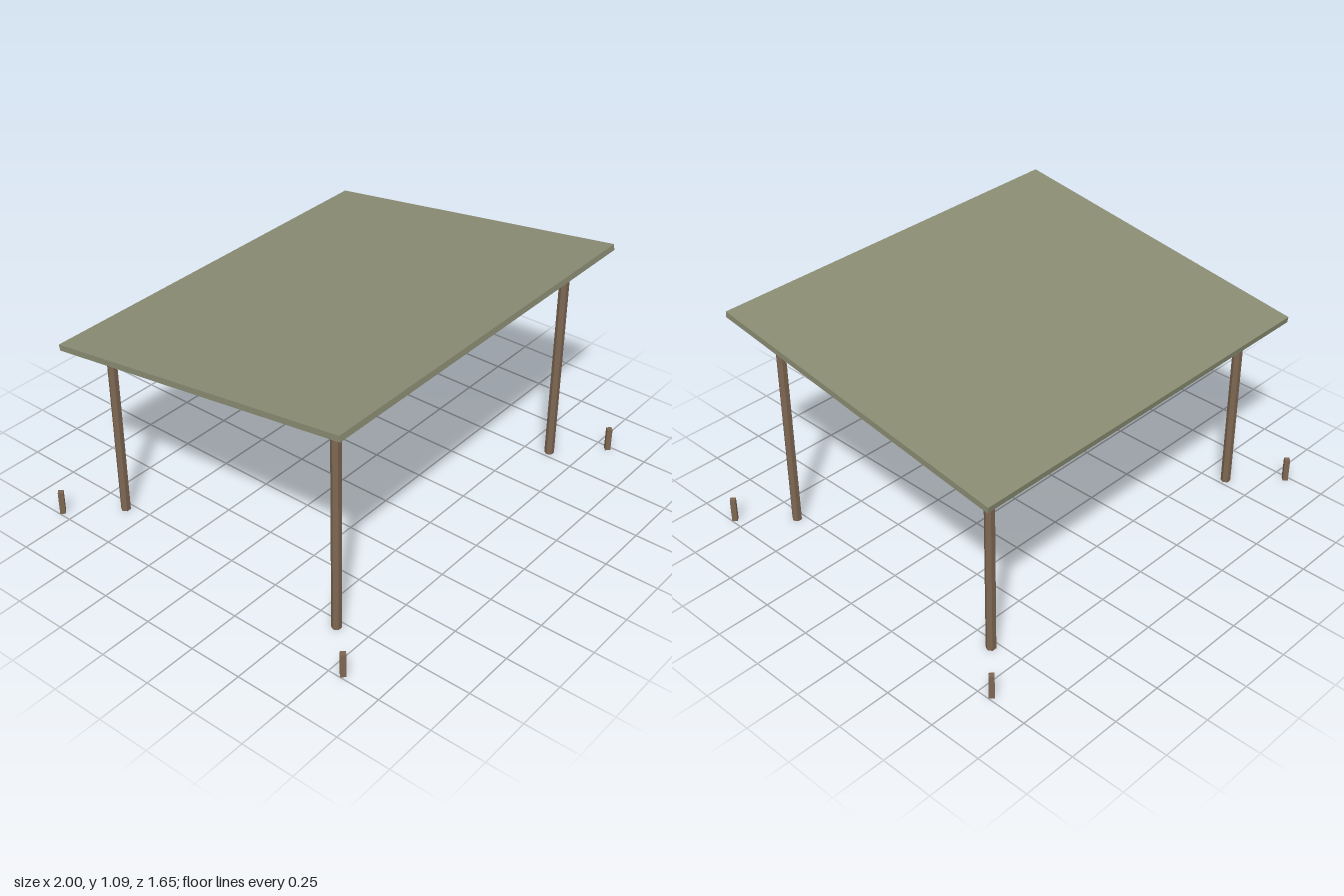
import * as THREE from 'three';

export function createModel() {
  const model = new THREE.Group();
  model.name = 'leanToShelter';

  const roofMat = new THREE.MeshStandardMaterial({ color: 0x8a8c73, flatShading: true });
  const woodMat = new THREE.MeshStandardMaterial({ color: 0x7d6652, flatShading: true });

  // Upright pole standing on the ground
  const addPole = (name, radius, height, sides, turn, x, z) => {
    const geometry = new THREE.CylinderGeometry(radius, radius, height, sides);
    geometry.rotateY(turn);
    const pole = new THREE.Mesh(geometry, woodMat);
    pole.name = name;
    pole.position.set(x, height / 2, z);
    model.add(pole);
  };

  // Sloping roof slab, higher at the front
  const roof = new THREE.Mesh(new THREE.BoxGeometry(1.874, 0.028, 1.528), roofMat);
  roof.name = 'roof';
  roof.position.y = 0.972;
  roof.rotation.x = -0.14;
  model.add(roof);

  // Posts under the roof and short pegs outside its corners
  for (const [sideName, sx] of [['Left', 1], ['Right', -1]]) {
    addPole('front' + sideName + 'Post', 0.0225, 1.05, 6, Math.PI / 6, sx * 0.785, 0.613);
    addPole('back' + sideName + 'Post', 0.0225, 0.877, 6, Math.PI / 6, sx * 0.785, -0.613);
    addPole('front' + sideName + 'Peg', 0.0175, 0.115, 4, 0, sx * 0.9825, 0.81);
    addPole('back' + sideName + 'Peg', 0.0175, 0.115, 4, 0, sx * 0.9825, -0.81);
  }

  return model;
}
